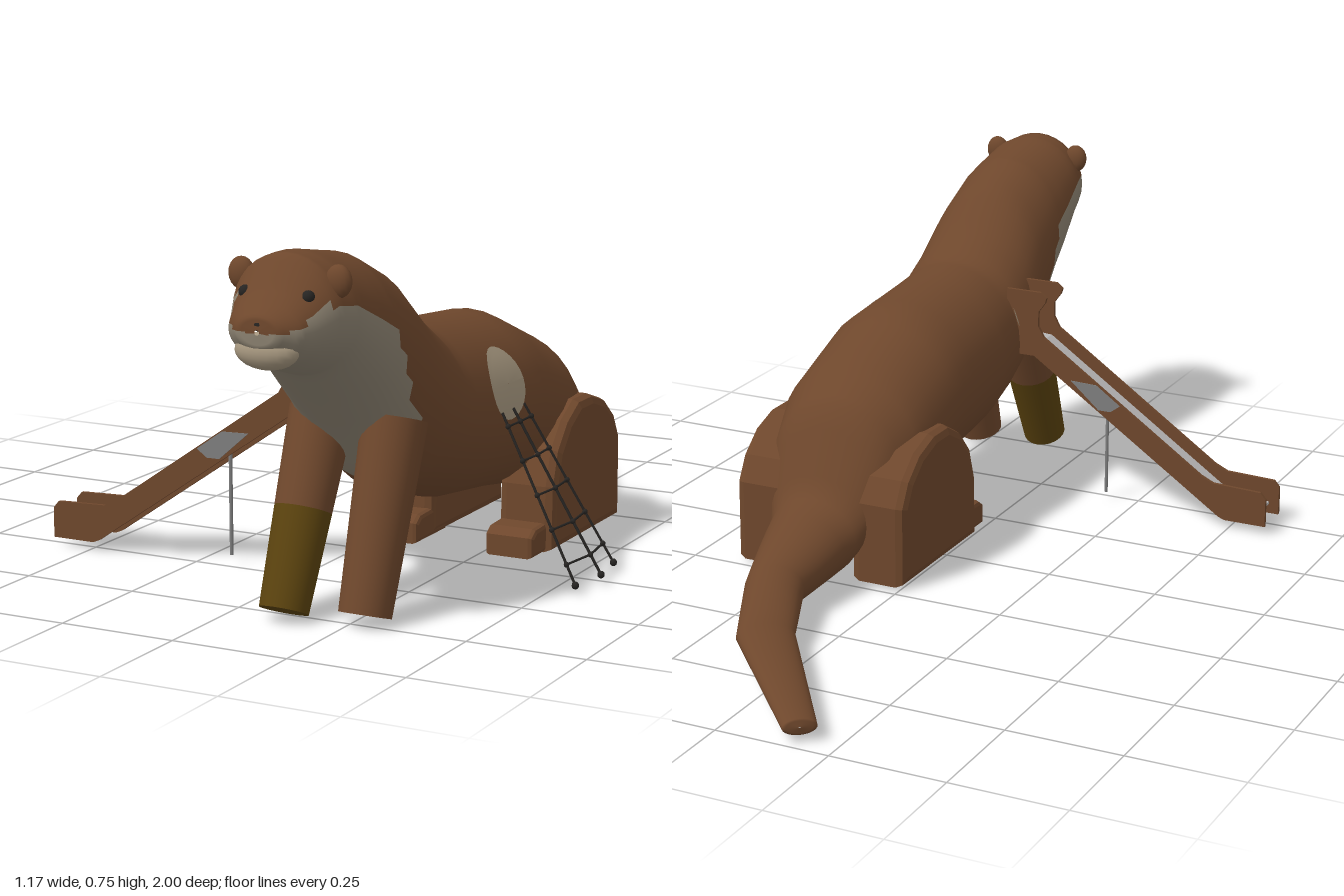
import * as THREE from 'three';

const CX = 0.193; // centre line of the animal

// [x, z, top, bottom, half width, yaw], from nose to tail tip
const SECTIONS = [
  [CX, 1.0, 0.61, 0.6, 0.005, 0], [CX, 0.998, 0.635, 0.575, 0.045, 0], [CX, 0.97, 0.655, 0.55, 0.078, 0],
  [CX, 0.94, 0.68, 0.53, 0.092, 0], [CX, 0.89, 0.738, 0.51, 0.115, 0], [CX, 0.84, 0.738, 0.495, 0.128, 0],
  [CX, 0.76, 0.724, 0.42, 0.138, 0], [CX, 0.7, 0.714, 0.36, 0.142, 0], [CX, 0.6, 0.67, 0.25, 0.15, 0],
  [CX, 0.515, 0.59, 0.2, 0.16, 0], [CX, 0.435, 0.535, 0.175, 0.167, 0], [CX, 0.33, 0.523, 0.145, 0.176, 0],
  [CX, 0.115, 0.505, 0.12, 0.182, 0], [CX, -0.07, 0.43, 0.09, 0.178, 0], [CX, -0.17, 0.365, 0.05, 0.15, 0],
  [CX, -0.26, 0.18, 0.01, 0.105, 0], [0.167, -0.475, 0.11, 0.008, 0.063, -0.41],
  [0.085, -0.655, 0.065, 0.008, 0.061, -0.61], [-0.174, -0.975, 0.042, 0.008, 0.035, -0.68],
  [-0.176, -0.978, 0.026, 0.024, 0.002, -0.68],
];
// Upper limit of the pale fur: [z, y]
const PALE = [[1.01, 0.6], [0.96, 0.615], [0.92, 0.655], [0.72, 0.595], [0.68, 0.5], [0.58, 0.32]];

const lerp = THREE.MathUtils.lerp;

// Linear lookup in a table ordered by falling z
function lookup(table, z, key) {
  let i = 0;
  while (i < table.length - 2 && table[i + 1][key] > z) i++;
  const t = (table[i][key] - z) / (table[i][key] - table[i + 1][key]);
  return table[i].map((v, k) => lerp(v, table[i + 1][k], t));
}

function bodyGeometry() {
  const sides = 32, steps = 4, pos = [], brown = [], pale = [], rings = [];
  SECTIONS.forEach((s, i) => {
    const next = SECTIONS[i + 1];
    if (!next) return rings.push(s);
    for (let k = 0; k < steps; k++) rings.push(s.map((v, n) => lerp(v, next[n], k / steps)));
  });
  for (const [x, z, top, bottom, r, yaw] of rings) {
    for (let j = 0; j < sides; j++) {
      const a = (j / sides) * Math.PI * 2, c = r * Math.cos(a);
      pos.push(x + c * Math.cos(yaw), (top + bottom) / 2 + ((top - bottom) / 2) * Math.sin(a), z + c * Math.sin(yaw));
    }
  }
  for (let i = 0; i < rings.length - 1; i++) {
    for (let j = 0; j < sides; j++) {
      const a = i * sides + j, b = i * sides + ((j + 1) % sides), c = a + sides, d = b + sides;
      const y = (pos[a * 3 + 1] + pos[d * 3 + 1]) / 2, z = (rings[i][1] + rings[i + 1][1]) / 2;
      const isPale = z > 0.58 && y < lookup(PALE, z, 0)[1];
      (isPale ? pale : brown).push(a, c, b, b, c, d);
    }
  }
  const g = new THREE.BufferGeometry();
  g.setAttribute('position', new THREE.Float32BufferAttribute(pos, 3));
  g.setIndex([...brown, ...pale]);
  g.addGroup(0, brown.length, 0);
  g.addGroup(brown.length, pale.length, 1);
  g.computeVertexNormals();
  return g;
}

// Thin disc that follows the flank of the body
function flankDisc(z0, y0, r, side) {
  const g = new THREE.RingGeometry(0.001, r, 28, 5), p = g.attributes.position;
  for (let i = 0; i < p.count; i++) {
    const z = z0 - side * p.getX(i), y = y0 + p.getY(i);
    const [x, , top, bottom, w] = lookup(SECTIONS, z, 1);
    const v = (y - (top + bottom) / 2) / ((top - bottom) / 2);
    p.setXYZ(i, x + side * (w * Math.sqrt(Math.max(0, 1 - v * v)) + 0.004), y, z);
  }
  g.computeVertexNormals();
  return g;
}

const shapeOf = (pts) => new THREE.Shape(pts.map(([x, y]) => new THREE.Vector2(x, y)));

// Round bar between two points
function bar(a, b, r0, r1 = r0, sides = 8) {
  const A = new THREE.Vector3(...a), B = new THREE.Vector3(...b), d = B.clone().sub(A);
  const g = new THREE.CylinderGeometry(r1, r0, d.length(), sides);
  g.applyQuaternion(new THREE.Quaternion().setFromUnitVectors(new THREE.Vector3(0, 1, 0), d.normalize()));
  return g.translate((A.x + B.x) / 2, (A.y + B.y) / 2, (A.z + B.z) / 2);
}

export function createModel() {
  const model = new THREE.Group();
  const mat = (name, color, side = THREE.FrontSide) => {
    const m = new THREE.MeshStandardMaterial({ color, side });
    m.name = name;
    return m;
  };
  const brown = mat('brown fur', 0x6e472c);
  const cream = mat('pale fur', 0x8c8271);
  const tan = mat('opening tan', 0xa6977f, THREE.DoubleSide);
  const olive = mat('olive leg', 0x5a420e);
  const steel = mat('steel', 0xb8b6b6, THREE.DoubleSide);
  const grey = mat('grey panel', 0x7d7d7d);
  const black = mat('dark rope', 0x262422);
  const add = (name, geometry, material, parent = model) => {
    const m = new THREE.Mesh(geometry, material);
    m.name = name;
    parent.add(m);
    return m;
  };

  add('body', bodyGeometry(), [brown, cream]);
  add('climbOpening', flankDisc(0.28, 0.39, 0.073, 1), tan);
  add('slideOpening', flankDisc(0.475, 0.42, 0.05, -1), tan);

  // Face
  for (const s of [-1, 1]) {
    const ear = add('ear', new THREE.SphereGeometry(0.032, 16, 10), brown);
    ear.position.set(CX + s * 0.104, 0.69, 0.875);
    ear.scale.set(0.85, 1, 0.55);
    const eye = add('eye', new THREE.SphereGeometry(0.013, 12, 8), black);
    eye.position.set(CX + s * 0.067, 0.665, 0.925);
  }
  const muzzle = add('muzzle', new THREE.SphereGeometry(1, 20, 12), tan);
  muzzle.position.set(CX, 0.565, 0.963);
  muzzle.scale.set(0.066, 0.036, 0.037);
  const nose = add('nose', new THREE.SphereGeometry(1, 14, 10), black);
  nose.position.set(CX, 0.619, 0.986);
  nose.scale.set(0.021, 0.014, 0.014);

  // Front legs: the right one has an olive lower part
  const legPoint = (top, foot, t) => top.map((v, i) => lerp(v, foot[i], t));
  const rightTop = [0.122, 0.38, 0.625], rightFoot = [0.125, 0.012, 0.79];
  const knee = legPoint(rightTop, rightFoot, 0.5);
  add('rightFrontLeg', bar(rightTop, knee, 0.066, 0.058, 20), brown);
  add('rightFrontPaw', bar(knee, rightFoot, 0.058, 0.05, 20), olive);
  add('leftFrontLeg', bar([0.284, 0.38, 0.625], [0.28, 0.012, 0.745], 0.066, 0.053, 20), brown);

  // Hind legs
  const haunch = shapeOf([[-0.235, 0], [-0.235, 0.18], [-0.205, 0.235], [-0.15, 0.28], [-0.08, 0.303], [-0.01, 0.303],
    [0.05, 0.27], [0.1, 0.215], [0.125, 0.14], [0.13, 0]]);
  const foot = shapeOf([[0.05, 0], [0.05, 0.065], [0.175, 0.06], [0.197, 0.045], [0.197, 0]]);
  const slab = (shape, depth, bevel, x) => new THREE.ExtrudeGeometry(shape, {
    depth: depth - 2 * bevel, bevelThickness: bevel, bevelSize: bevel, bevelOffset: -bevel, bevelSegments: 2,
  }).translate(0, 0, -depth / 2 + bevel).rotateY(-Math.PI / 2).translate(x, 0, 0);
  for (const s of [-1, 1]) {
    add('haunch', slab(haunch, 0.13, 0.02, CX + s * 0.142), brown);
    add('hindFoot', slab(foot, 0.11, 0.01, CX + s * 0.135), brown);
  }

  // Slide: two side panels, steel bed, grey insets and a post
  const slide = new THREE.Group();
  slide.name = 'slide';
  model.add(slide);
  const panel = shapeOf([[0.06, 0.487], [-0.025, 0.487], [-0.04, 0.475], [-0.036, 0.462], [-0.02, 0.44], [-0.02, 0.405],
    [-0.034, 0.38], [-0.43, 0.108], [-0.46, 0.094], [-0.575, 0.09], [-0.588, 0.075], [-0.588, 0.01], [-0.49, 0.01],
    [-0.475, 0.016], [-0.01, 0.333], [0.06, 0.333]]);
  const inset = shapeOf([[-0.228, 0.243], [-0.168, 0.285], [-0.105, 0.287], [-0.175, 0.226], [-0.205, 0.226]]);
  const plate = (shape, depth, z) =>
    new THREE.ExtrudeGeometry(shape, { depth, bevelEnabled: false }).translate(0, 0, z);
  add('slidePanel', plate(panel, 0.008, 0.43), brown, slide);
  add('slidePanel', plate(panel, 0.008, 0.518), brown, slide);
  add('slideInset', plate(inset, 0.002, 0.428), grey, slide);
  add('slideInset', plate(inset, 0.002, 0.526), grey, slide);
  const bed = shapeOf([[0.05, 0.365], [-0.015, 0.36], [-0.46, 0.055], [-0.49, 0.042], [-0.565, 0.038],
    [-0.565, 0.032], [-0.49, 0.034], [-0.455, 0.047], [-0.01, 0.352], [0.05, 0.357]]);
  add('slideBed', plate(bed, 0.08, 0.438), steel, slide);
  add('slidePost', bar([-0.177, 0.01, 0.478], [-0.177, 0.25, 0.478], 0.004), grey, slide);

  // Climbing net: three ropes with crossing rungs and knots
  const net = new THREE.Group();
  net.name = 'climbingNet';
  model.add(net);
  const ropes = [-1, 0, 1].map((s) => [
    [0.375, 0.34, 0.277 + s * 0.052], [s ? 0.558 : 0.572, 0.012, 0.272 + s * 0.097]]);
  for (const [top, end] of ropes) {
    add('rope', bar(top, end, 0.003, 0.003, 6), black, net);
    add('ropeFoot', new THREE.SphereGeometry(0.008, 8, 6).translate(...end), black, net);
  }
  for (let k = 0; k < 5; k++) {
    const pts = ropes.map(([a, b]) => legPoint(a, b, 0.08 + k * 0.2));
    for (let i = 0; i < 3; i++) {
      add('knot', new THREE.SphereGeometry(0.006, 8, 6).translate(...pts[i]), black, net);
      if (i) add('rung', bar(pts[i - 1], pts[i], 0.0025, 0.0025, 6), black, net);
    }
  }
  return model;
}
